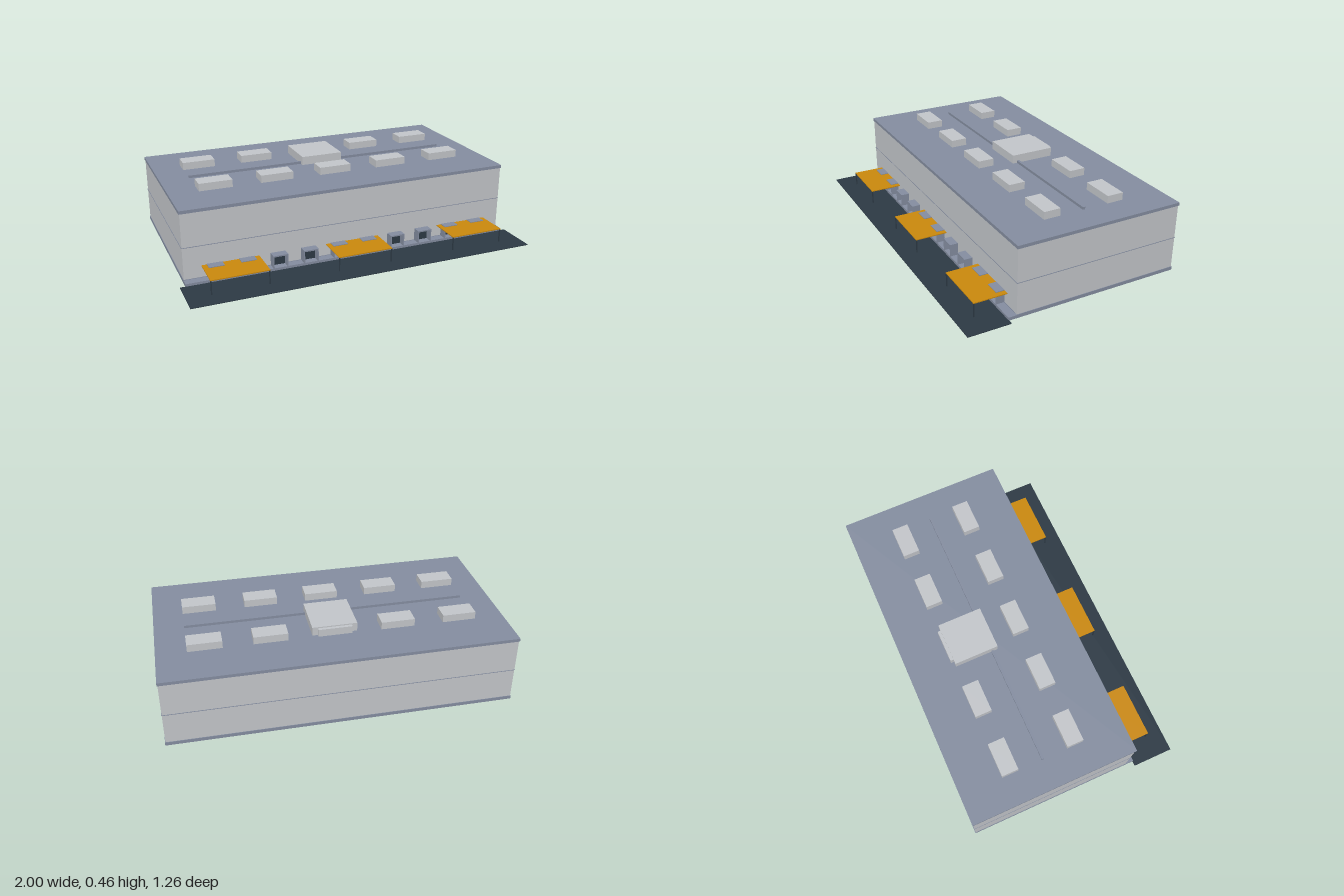
import * as THREE from 'three';

const mat = (name, color) => {
  const m = new THREE.MeshStandardMaterial({ color });
  m.name = name;
  return m;
};

export function createModel() {
  const root = new THREE.Group();
  root.name = 'warehouse';
  const wall = mat('pale grey cladding', 0xc4c7cb);
  const slate = mat('slate grey', 0x858ea1);
  const dark = mat('dark asphalt', 0x2d3a45);
  const orange = mat('orange canopy', 0xcb890d);

  // Box given by its extents on each axis
  const box = (name, material, [x0, x1], [y0, y1], [z0, z1], parent = root) => {
    const mesh = new THREE.Mesh(new THREE.BoxGeometry(x1 - x0, y1 - y0, z1 - z0), material);
    mesh.name = name;
    mesh.position.set((x0 + x1) / 2, (y0 + y1) / 2, (z0 + z1) / 2);
    parent.add(mesh);
    return mesh;
  };
  const around = (c, w) => [c - w / 2, c + w / 2];

  // Main building: plinth, walls, panel seam and roof slab
  box('plinth', slate, [-0.971, 0.971], [0, 0.02], [-0.63, 0.343]);
  box('walls', wall, [-0.968, 0.968], [0.02, 0.392], [-0.627, 0.341]);
  box('wallSeam', slate, [-0.97, 0.97], [0.199, 0.202], [-0.629, 0.343]);
  box('roof', slate, [-0.972, 0.972], [0.392, 0.41], [-0.631, 0.345]);

  // Truck yard and dock platform
  box('yard', dark, [-1, 1], [0, 0.004], [0.388, 0.628]);
  box('dockPlatform', slate, [-0.971, 0.971], [0, 0.018], [0.343, 0.39]);

  // Ten dock shelters: open frames with a recessed door
  for (let i = 0; i < 10; i++) {
    const x = (i - 4.5) * 0.1775;
    const shelter = new THREE.Group();
    shelter.name = 'dockShelter';
    root.add(shelter);
    for (const s of [-1, 1]) {
      box('shelterJamb', slate, around(x + s * 0.04, 0.006), [0.018, 0.09], [0.341, 0.39], shelter);
    }
    box('shelterHeader', slate, around(x, 0.086), [0.083, 0.0905], [0.341, 0.39], shelter);
    box('dockDoor', dark, around(x, 0.074), [0.018, 0.083], [0.341, 0.348], shelter);
  }

  // Three canopies on slim posts
  for (const x of [-0.71, 0, 0.71]) {
    const canopy = new THREE.Group();
    canopy.name = 'canopy';
    root.add(canopy);
    box('canopyRoof', orange, around(x, 0.32), [0.082, 0.087], [0.341, 0.53], canopy);
    for (const s of [-1, 1]) {
      box('canopyPost', dark, around(x + s * 0.157, 0.006), [0.004, 0.082], [0.524, 0.53], canopy);
    }
  }

  // Rooftop units in two rows
  for (let i = -2; i <= 2; i++) {
    for (const z of [0.05, -0.338]) {
      box('roofUnit', wall, around(i * 0.355, 0.19), [0.41, 0.453], around(z, 0.096));
    }
  }

  // Central plant housing and roof duct
  box('plantHousing', wall, [-0.126, 0.126], [0.41, 0.46], [-0.368, -0.11]);
  box('roofDuct', slate, [-0.805, 0.805], [0.41, 0.425], around(-0.143, 0.014));

  return root;
}
